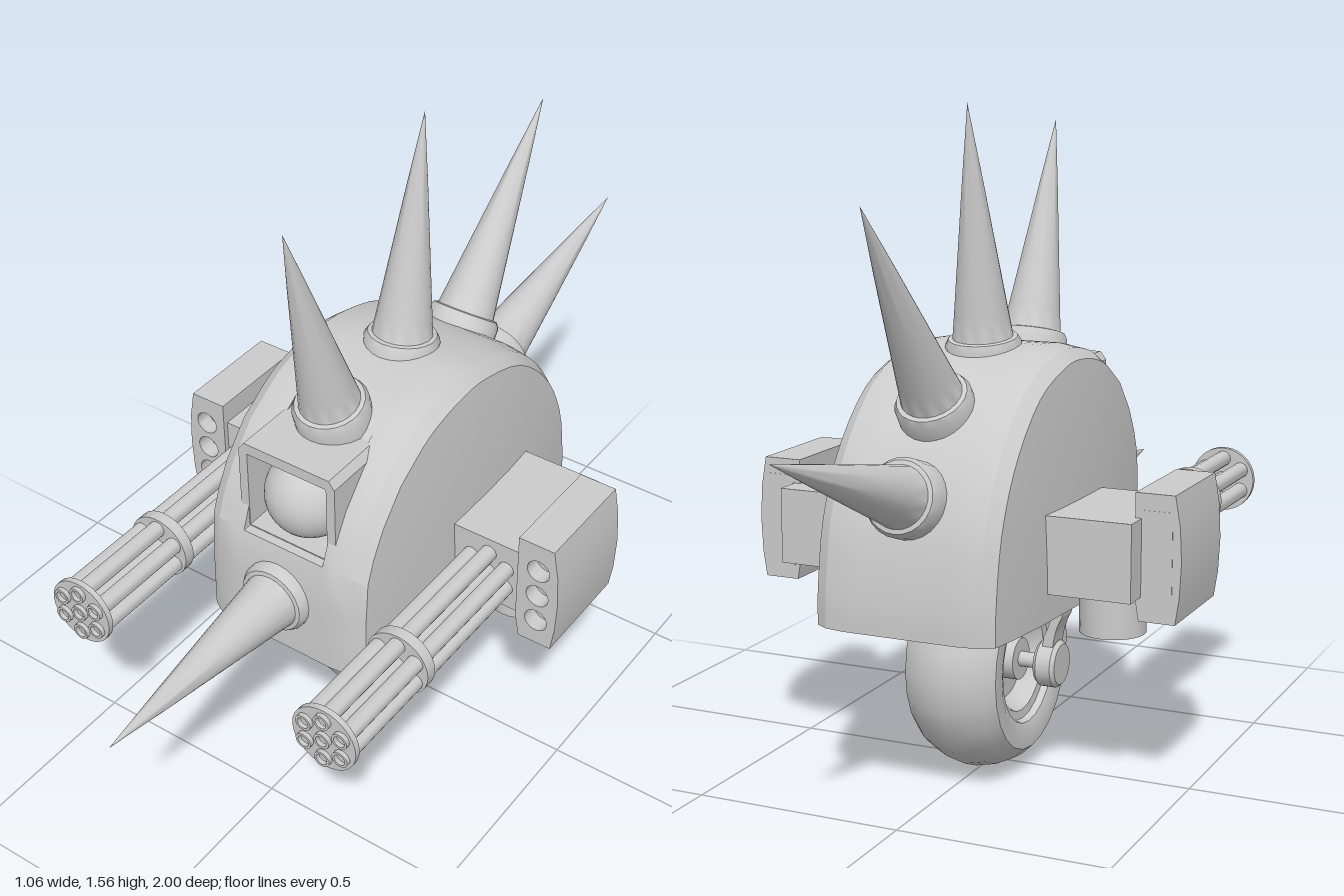
import * as THREE from 'three';
import { toCreasedNormals } from 'three/addons/utils/BufferGeometryUtils.js';

const grey = new THREE.MeshStandardMaterial({ color: 0xcccccc });
const V2 = (x, y) => new THREE.Vector2(x, y);
const V3 = (x, y, z) => new THREE.Vector3(x, y, z);

function add(parent, name, geometry, x = 0, y = 0, z = 0) {
  const mesh = new THREE.Mesh(geometry, grey);
  mesh.name = name;
  mesh.position.set(x, y, z);
  parent.add(mesh);
  return mesh;
}
const lathe = (pts, seg = 24, crease = 0.6) =>
  toCreasedNormals(new THREE.LatheGeometry(pts.map(p => V2(...p)), seg), crease);
const cylX = (r, len, seg = 24) => new THREE.CylinderGeometry(r, r, len, seg).rotateZ(Math.PI / 2);
const cylZ = (r, len, seg = 16) => new THREE.CylinderGeometry(r, r, len, seg).rotateX(Math.PI / 2);

// Rows of [scale about the base centre, half-width] from the side panel to the crown
const BASE = 0.43;
const rows = [[0, 0.252], [0.5, 0.24], [0.8, 0.226], [0.945, 0.215], [0.985, 0.185], [1, 0.135]];

// Domed shell: side profile swept across the width, with a square eye socket pressed into the front
function shellGeometry() {
  const arc = new THREE.SplineCurve([[0.2, 0.972], [0.145, 0.995], [0.04, 1.014], [-0.07, 1.01], [-0.23, 0.955],
    [-0.365, 0.83], [-0.445, 0.68], [-0.475, 0.52], [-0.478, BASE]].map(p => V2(...p)));
  const front = [[0.43, BASE], [0.426, 0.6], [0.417, 0.714], [0.416, 0.716], [0.393, 0.775], [0.355, 0.84], [0.285, 0.919]];
  const profile = [...front.map(p => V2(...p)), ...arc.getPoints(28)];
  const across = [...rows, [1, 0.109], [1, 0.108]];
  const stations = [...across.map(([s, x]) => [s, -x]), ...across.slice().reverse()];
  const pos = [], index = [], n = stations.length;
  for (const p of profile)
    for (const [s, x] of stations) {
      const socket = Math.abs(x) < 0.1085 && p.x > 0.27 && p.y > 0.715;
      pos.push(x, BASE + (p.y - BASE) * s, socket ? 0.27 : p.x * s);
    }
  for (let i = 0; i < profile.length - 1; i++)
    for (let j = 0; j < n - 1; j++) {
      const a = i * n + j, b = a + 1, d = a + n, c = d + 1;
      if (j > 0) index.push(a, b, d);
      if (j > 0 && j < n - 2) index.push(b, c, d);
      else if (j === 0) index.push(b, c, d);
    }
  const g = new THREE.BufferGeometry();
  g.setAttribute('position', new THREE.Float32BufferAttribute(pos, 3));
  g.setIndex(index);
  return toCreasedNormals(g, 0.42);
}

function makeBody(root) {
  const body = new THREE.Group();
  body.name = 'body';
  root.add(body);
  add(body, 'shell', shellGeometry());

  // Underside rim with the wheel opening (shape y runs along z)
  const half = rows.slice(1), back = half.slice().reverse();
  const rim = new THREE.Shape([
    ...half.map(([s, x]) => V2(x, 0.43 * s)), ...back.map(([s, x]) => V2(-x, 0.43 * s)),
    ...half.map(([s, x]) => V2(-x, -0.478 * s)), ...back.map(([s, x]) => V2(x, -0.478 * s))]);
  rim.holes.push(new THREE.Path([V2(-0.19, -0.36), V2(-0.19, 0.36), V2(0.19, 0.36), V2(0.19, -0.36)]));
  add(body, 'undersideRim', new THREE.ShapeGeometry(rim).rotateX(Math.PI / 2), 0, BASE, 0);

  // Wheel well: four walls and a ceiling
  for (const s of [1, -1]) {
    add(body, 'wellSide', new THREE.BoxGeometry(0.016, 0.17, 0.72), s * 0.198, BASE + 0.086, 0);
    add(body, 'wellEnd', new THREE.BoxGeometry(0.38, 0.17, 0.016), 0, BASE + 0.086, s * 0.368);
  }
  add(body, 'wellCeiling', new THREE.BoxGeometry(0.38, 0.016, 0.72), 0, BASE + 0.17, 0);

  // Square eye hood and the eye
  const hood = new THREE.Shape([V2(-0.13, 0.7), V2(0.13, 0.7), V2(0.13, 0.925), V2(0.115, 0.945),
    V2(-0.115, 0.945), V2(-0.13, 0.925)]);
  hood.holes.push(new THREE.Path([V2(-0.107, 0.717), V2(-0.107, 0.918), V2(0.107, 0.918), V2(0.107, 0.717)]));
  add(body, 'eyeHood', new THREE.ExtrudeGeometry(hood, { depth: 0.19, bevelEnabled: false }), 0, 0, 0.205);
  add(body, 'eye', new THREE.SphereGeometry(0.104, 32, 20), 0.005, 0.812, 0.316);
}

// Slightly concave spike on a collar, pointing from base to tip
function addSpike(parent, name, base, tip) {
  const dir = tip.clone().sub(base), len = dir.length();
  const g = lathe([[0.088, -0.05], [0.088, 0.012], [0.08, 0.026], [0.07, 0.028],
    [0.063, 0.08], [0.046, len * 0.38], [0.023, len * 0.7], [0, len]], 24);
  const mesh = add(parent, name, g, base.x, base.y, base.z);
  mesh.quaternion.setFromUnitVectors(V3(0, 1, 0), dir.normalize());
}

function makeWheel(root) {
  const wheel = new THREE.Group();
  wheel.name = 'wheel';
  wheel.position.set(0, 0.268, -0.02);
  root.add(wheel);
  // Tyre and stepped rim share one lathe, mirrored about the middle
  const side = [[0, 0.045], [0.1, 0.045], [0.118, 0.07], [0.125, 0.088], [0.145, 0.09], [0.15, 0.106],
    [0.175, 0.115], [0.21, 0.114], [0.235, 0.088], [0.253, 0.05]];
  const pts = [...side.map(([r, h]) => [r, -h]), [0.264, 0], ...side.slice().reverse()];
  add(wheel, 'tyreAndRim', lathe(pts, 24, 0.7).rotateZ(Math.PI / 2));
  add(wheel, 'axle', cylX(0.018, 0.34));
  add(wheel, 'hub', cylX(0.05, 0.17));
  for (const s of [1, -1]) {
    const cap = lathe([[0, -0.027], [0.048, -0.027], [0.056, -0.018], [0.056, 0.018], [0.048, 0.027], [0, 0.027]]);
    add(wheel, 'axleCap', cap.rotateZ(Math.PI / 2), s * 0.162, 0, 0);
    // Curved fork arm up into the body
    const arm = new THREE.Shape();
    arm.moveTo(0.145, 0);
    arm.lineTo(0.175, 0);
    arm.quadraticCurveTo(0.175, 0.08, 0.2, 0.12);
    arm.lineTo(0.212, 0.2);
    arm.lineTo(0.186, 0.2);
    arm.quadraticCurveTo(0.182, 0.12, 0.155, 0.07);
    const g = new THREE.ExtrudeGeometry(arm, { depth: 0.06, bevelEnabled: false, curveSegments: 8 });
    g.translate(0, 0, -0.03);
    if (s < 0) g.rotateY(Math.PI);
    add(wheel, 'forkArm', g);
  }
}

// Gun, rocket pod and vent on one side (s = 1 left, -1 right)
function makeWeapon(root, s) {
  const weapon = new THREE.Group();
  weapon.name = s > 0 ? 'leftWeapon' : 'rightWeapon';
  root.add(weapon);
  const gx = s * 0.336, gy = 0.58;
  add(weapon, 'gunHousing', new THREE.BoxGeometry(0.26, 0.178, 0.32), s * 0.305, 0.584, -0.07);

  // Seven barrels bound by two discs
  for (let i = 0; i < 7; i++) {
    const a = Math.PI / 2 + i * Math.PI / 3, r = i < 6 ? 0.054 : 0;
    const x = gx + r * Math.cos(a), y = gy + r * Math.sin(a);
    const barrel = lathe([[0, 0], [0.02, 0], [0.02, 0.66], [0.014, 0.66], [0.014, 0.62], [0, 0.62]], 14);
    add(weapon, 'barrel', barrel.rotateX(Math.PI / 2), x, y, 0.075);
  }
  add(weapon, 'muzzleDisc', cylZ(0.082, 0.014, 28), gx, gy, 0.718);
  add(weapon, 'barrelBand', cylZ(0.08, 0.028, 28), gx, gy, 0.442);

  // Rocket pod with three open tubes
  const pod = new THREE.Shape([[0.42, 0.73], [0.42, 0.5], [0.43, 0.44], [0.515, 0.44], [0.524, 0.5],
    [0.528, 0.58], [0.524, 0.66], [0.512, 0.73]].map(([x, y]) => V2(s * x, y)));
  for (const y of [0.508, 0.582, 0.656]) {
    const hole = new THREE.Path();
    hole.absarc(s * 0.474, y, 0.029, 0, Math.PI * 2, false);
    pod.holes.push(hole);
  }
  add(weapon, 'rocketPod', toCreasedNormals(
    new THREE.ExtrudeGeometry(pod, { depth: 0.27, bevelEnabled: false, curveSegments: 16 }), 0.5), 0, 0, -0.167);
  add(weapon, 'podTubeFloor', new THREE.BoxGeometry(0.07, 0.22, 0.23), s * 0.472, 0.582, -0.053);

  // Hollow vent under the housing
  add(weapon, 'vent', lathe([[0, 0.08], [0.064, 0.08], [0.064, 0], [0.077, 0], [0.077, 0.13]], 28),
    s * 0.332, 0.38, -0.066);
}

export function createModel() {
  const root = new THREE.Group();
  root.name = 'spikedWheelRobot';
  makeBody(root);
  makeWheel(root);
  // Crest spikes as [base y, base z, tip y, tip z]
  for (const [by, bz, ty, tz] of [[0.985, 0.225, 1.51, 0.375], [1.005, -0.045, 1.56, -0.13],
    [0.915, -0.3, 1.368, -0.632], [0.735, -0.45, 0.913, -1]])
    addSpike(root, 'crestSpike', V3(0, by, bz), V3(0, ty, tz));
  addSpike(root, 'noseSpike', V3(-0.013, 0.575, 0.425), V3(-0.013, 0.58, 1));
  for (const s of [1, -1]) makeWeapon(root, s);
  return root;
}
